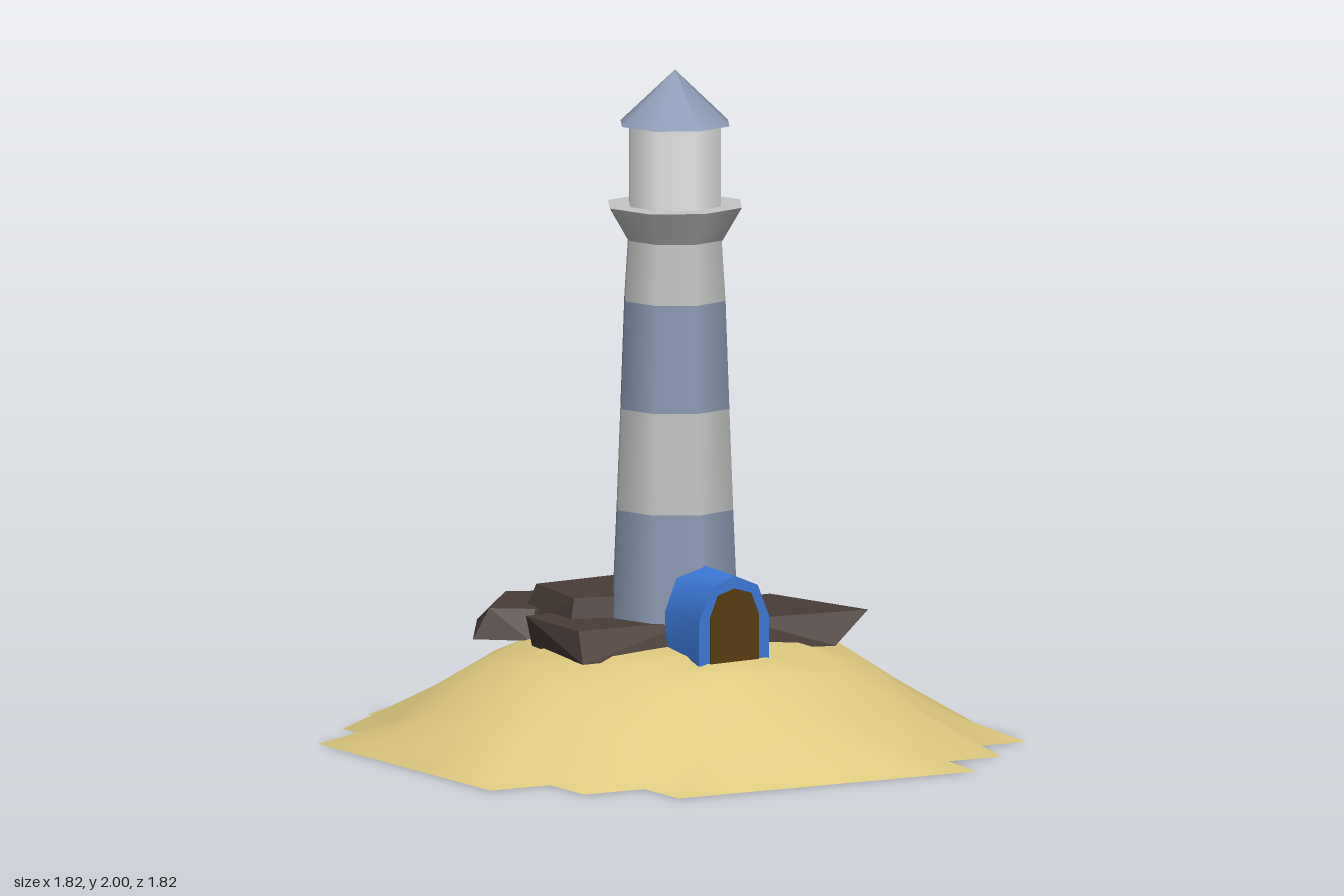
import * as THREE from 'three';
import { toCreasedNormals } from 'three/addons/utils/BufferGeometryUtils.js';
import { ConvexGeometry } from 'three/addons/geometries/ConvexGeometry.js';

function mat(name, color, side = THREE.FrontSide) {
  const m = new THREE.MeshStandardMaterial({ color, side });
  m.name = name;
  return m;
}

const sand = mat('sand', 0xdcc97f, THREE.DoubleSide);
const rock = mat('darkRock', 0x4a3d38);
const slate = mat('slateBlue', 0x8d9ab2);
const stone = mat('paleStone', 0xc4c6c4);
const white = mat('lampWhite', 0xe8e8e8);
const blue = mat('doorBlue', 0x3d7ad9);
const brown = mat('doorBrown', 0x573f10);

function part(parent, name, geometry, material) {
  const mesh = new THREE.Mesh(geometry, material);
  mesh.name = name;
  parent.add(mesh);
  return mesh;
}

// Height of the mound by distance from the middle, steeper at the back right
const PROFILE = [[0, 0.325], [0.2, 0.318], [0.43, 0.3], [0.52, 0.272], [0.6, 0.225], [0.715, 0.145], [0.78, 0.08], [0.88, 0]];
function moundHeight(x, z) {
  const d = Math.hypot(x, z);
  const toward = Math.max(0, (0.5 * x - 0.87 * z) / d);
  const r = d * (1 - 0.32 * toward ** 8);
  for (let i = 1; i < PROFILE.length; i++) {
    const [r0, h0] = PROFILE[i - 1], [r1, h1] = PROFILE[i];
    if (r <= r1) return THREE.MathUtils.lerp(h0, h1, (r - r0) / (r1 - r0));
  }
  return 0;
}

// Open sheet on a 9 x 9 grid with stepped corners
function moundGeometry() {
  const n = 9, half = 0.91, step = 2 * half / n;
  const filled = (i, j) => {
    if (i < 0 || j < 0 || i >= n || j >= n) return false;
    const a = Math.abs(i - 4), b = Math.abs(j - 4);
    return Math.max(a, b) < 3 || a + b < 7 && !(a === 4 && b > 2) && !(b === 4 && a > 2);
  };
  const pos = [], index = [];
  for (let j = 0; j <= n; j++) for (let i = 0; i <= n; i++) {
    const x = -half + i * step, z = -half + j * step;
    const inside = filled(i, j) && filled(i - 1, j) && filled(i, j - 1) && filled(i - 1, j - 1);
    pos.push(x, inside ? moundHeight(x, z) : 0, z);
  }
  for (let j = 0; j < n; j++) for (let i = 0; i < n; i++) {
    if (!filled(i, j)) continue;
    const a = j * (n + 1) + i, b = a + 1, c = a + n + 1, d = c + 1;
    // diagonals run outward from the middle
    if ((i - 4) * (j - 4) >= 0) index.push(a, c, d, a, d, b);
    else index.push(a, c, b, b, c, d);
  }
  const g = new THREE.BufferGeometry();
  g.setAttribute('position', new THREE.Float32BufferAttribute(pos, 3));
  g.setIndex(index);
  g.computeVertexNormals();
  return g;
}

// Rock slab between an upper and a lower outline of [x, z] corners
function slab(topY, top, bottom) {
  const at = y => ([x, z]) => new THREE.Vector3(x, y, z);
  return new ConvexGeometry([...top.map(at(topY)), ...bottom.map(at(0.29))]);
}

// Arch outline standing on y = 0
function arch(half, spring, shoulder, top) {
  const s = new THREE.Shape();
  s.moveTo(-half, 0);
  s.lineTo(half, 0);
  s.lineTo(half, spring);
  s.lineTo(half * 0.68, shoulder);
  s.lineTo(0, top);
  s.lineTo(-half * 0.68, shoulder);
  s.lineTo(-half, spring);
  s.closePath();
  return s;
}

export function createModel() {
  const model = new THREE.Group();
  model.name = 'lighthouse';

  part(model, 'sandMound', moundGeometry(), sand);

  // Rocks around the foot
  const rocks = new THREE.Group();
  rocks.name = 'rocks';
  model.add(rocks);
  part(rocks, 'rightRock', slab(0.38,
    [[-0.05, -0.2], [0.45, -0.2], [0.55, 0.2], [0.13, 0.165]],
    [[-0.05, -0.2], [0.4, -0.2], [0.41, 0.25], [0.12, 0.17]]), rock);
  part(rocks, 'leftRock', slab(0.38,
    [[-0.38, -0.2], [0, -0.25], [0, 0.13], [-0.39, 0.125]],
    [[-0.36, -0.2], [0, -0.25], [0, 0.17], [-0.41, 0.185]]), rock);
  part(rocks, 'backLeftRock', slab(0.38,
    [[-0.2, -0.63], [0.07, -0.51], [0.06, -0.38], [-0.29, -0.3], [-0.4, -0.38]],
    [[-0.25, -0.71], [0.08, -0.515], [0.06, -0.38], [-0.32, -0.28], [-0.45, -0.39]]), rock);
  part(rocks, 'backRightRock', slab(0.38,
    [[0.07, -0.44], [0.155, -0.5], [0.37, -0.21], [0.28, -0.17], [0.12, -0.19]],
    [[0.06, -0.43], [0.17, -0.54], [0.41, -0.23], [0.3, -0.17], [0.12, -0.19]]), rock);
  part(rocks, 'upperRock', slab(0.44,
    [[-0.24, -0.38], [0.06, -0.41], [0.13, -0.18], [0, -0.02], [-0.28, -0.09]],
    [[-0.29, -0.42], [0.06, -0.425], [0.13, -0.18], [0, -0.02], [-0.32, -0.065]]), rock);

  // Eight-sided tower, stacked from bands: name, y0, y1, r0, r1, material, closed
  const tower = new THREE.Group();
  tower.name = 'tower';
  tower.position.set(0.017, 0, -0.012);
  tower.rotation.y = -0.1;
  model.add(tower);
  const bands = [
    ['lowerBlueBand', 0.29, 0.7, 0.201, 0.183, slate, false],
    ['lowerPaleBand', 0.7, 1.0, 0.183, 0.171, stone, false],
    ['upperBlueBand', 1.0, 1.32, 0.171, 0.159, slate, false],
    ['upperPaleBand', 1.32, 1.5, 0.159, 0.147, stone, false],
    ['gallery', 1.5, 1.6, 0.15, 0.21, stone, true],
    ['lampRoom', 1.6, 1.84, 0.144, 0.144, white, false],
    ['roof', 1.84, 2.0, 0.171, 0, slate, true],
  ];
  for (const [name, y0, y1, r0, r1, material, closed] of bands) {
    const g = new THREE.CylinderGeometry(r1, r0, y1 - y0, 8, 1, !closed);
    g.translate(0, (y0 + y1) / 2, 0);
    part(tower, name, g, material);
  }

  // Arched porch, slightly skewed, with its door
  const porch = new THREE.Group();
  porch.name = 'porch';
  porch.position.set(-0.008, 0.29, 0.377);
  model.add(porch);
  const skew = new THREE.Matrix4().makeShear(0, -0.06, 0, 0, -0.1, 0);
  const shell = new THREE.ExtrudeGeometry(arch(0.123, 0.13, 0.225, 0.26), { depth: 0.24, bevelEnabled: false });
  shell.translate(0, 0, -0.24).applyMatrix4(skew);
  part(porch, 'porchShell', toCreasedNormals(shell, 0.95), blue);
  const door = new THREE.ExtrudeGeometry(arch(0.085, 0.14, 0.205, 0.222), { depth: 0.006, bevelEnabled: false });
  door.applyMatrix4(skew);
  part(porch, 'door', door, brown);

  return model;
}
